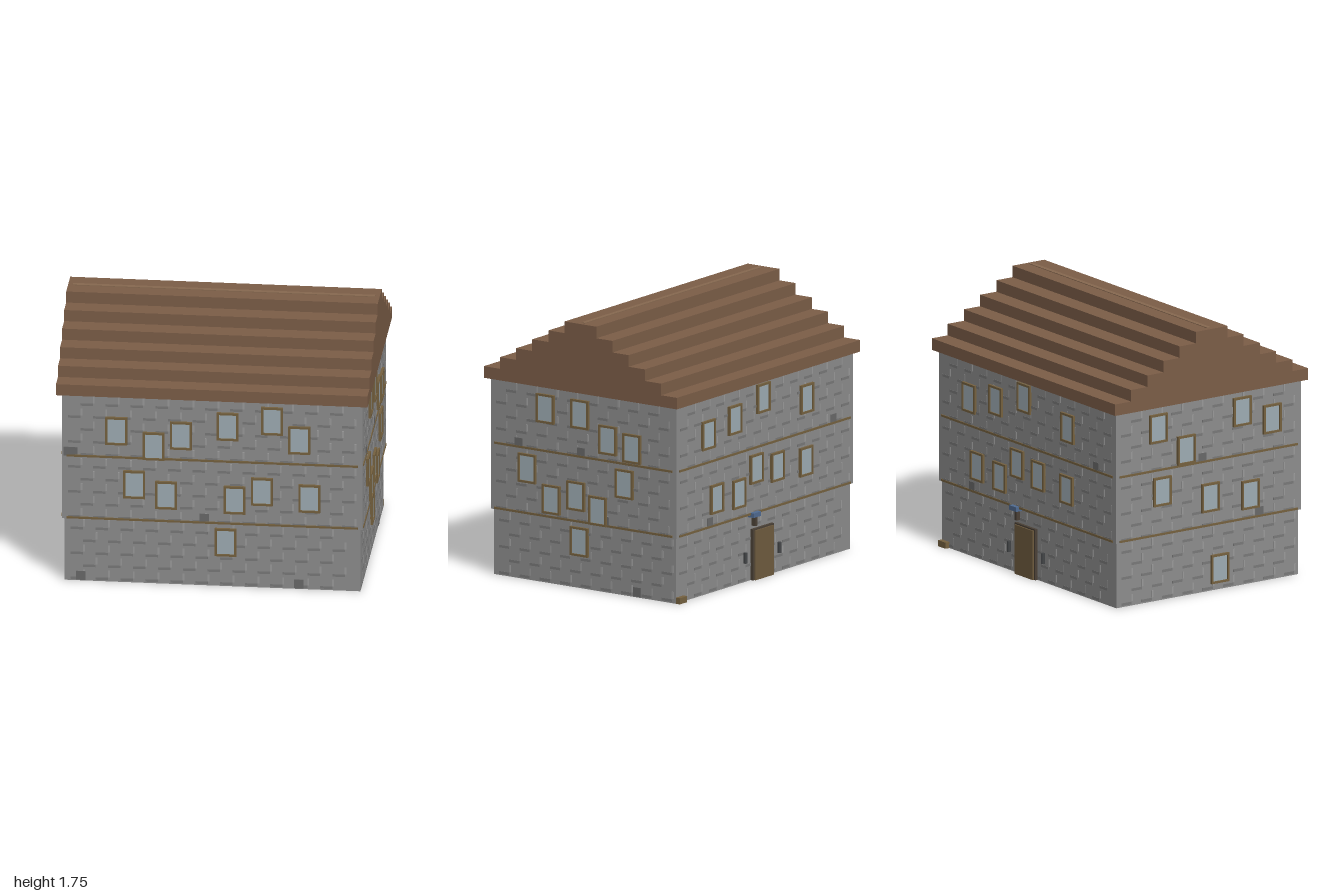
import * as THREE from 'three';
import { mergeGeometries } from 'three/addons/utils/BufferGeometryUtils.js';

const mat = (color) => new THREE.MeshStandardMaterial({ color, flatShading: true });
const M = {
  stone: mat(0x8c8c8c), darkStone: mat(0x787878), paleStone: mat(0x9a9a9a), patch: mat(0x686868),
  roof: mat(0x7b5d47), ridge: mat(0x86684f), timber: mat(0x75613f), glass: mat(0x9dabb2),
  door: mat(0x6e5b3e), dark: mat(0x4a4036), iron: mat(0x444648), blue: mat(0x4f6a90),
};

function box(parent, name, m, w, h, d, x, y, z) {
  const mesh = new THREE.Mesh(new THREE.BoxGeometry(w, h, d), m);
  mesh.position.set(x, y, z);
  mesh.name = name;
  parent.add(mesh);
  return mesh;
}

// wall planes: half sizes of the ground storey and the jettied upper storeys
const GROUND = { x: 0.95, z: 0.715, y0: 0, y1: 0.43 };
const UPPER = { x: 0.965, z: 0.73, y0: 0.43, y1: 1.29 };

// each side: turn about y, windows [u, y] and dark stones [u, y, width]; u runs to the viewer's right
const SIDES = [
  { name: 'front', turn: 0, out: 'z', along: 'x',
    windows: [[-0.615, 1.05], [-0.375, 0.955], [-0.2, 1.035], [0.1, 1.11], [0.385, 1.16], [0.56, 1.035],
      [-0.5, 0.685], [-0.295, 0.62], [0.145, 0.605], [0.32, 0.67], [0.625, 0.635], [0.085, 0.305]],
    stones: [[-0.845, 0.035, 0.06], [0.555, 0.035, 0.06], [-0.05, 0.47, 0.06], [-0.91, 0.895, 0.09]] },
  { name: 'right', turn: Math.PI / 2, out: 'x', along: 'z',
    windows: [[-0.295, 1.145], [-0.025, 1.145], [0.195, 1.005], [0.385, 0.975],
      [-0.44, 0.735], [-0.25, 0.555], [-0.055, 0.605], [0.115, 0.53], [0.325, 0.735], [-0.04, 0.305]],
    stones: [[-0.51, 0.895, 0.06], [-0.02, 0.895, 0.06], [0.41, 0.035, 0.06], [0.17, 0.47, 0.06]] },
  { name: 'back', turn: Math.PI, out: 'z', along: 'x',
    windows: [[-0.625, 1.05], [-0.335, 1.095], [-0.025, 1.18], [0.45, 1.085],
      [-0.535, 0.615], [-0.29, 0.6], [-0.1, 0.73], [0.13, 0.7], [0.44, 0.675]],
    stones: [[0.75, 0.895, 0.06], [-0.6, 0.47, 0.06]] },
  { name: 'left', turn: -Math.PI / 2, out: 'x', along: 'z',
    windows: [[-0.4, 1.145], [-0.18, 0.97], [0.26, 1.155], [0.495, 1.07],
      [-0.37, 0.725], [0.01, 0.625], [0.325, 0.595], [0.095, 0.14]],
    stones: [[-0.05, 0.895, 0.06], [0.4, 0.47, 0.06]] },
];

// framed window standing slightly proud of the wall
function makeWindow(u, y, plane) {
  const g = new THREE.Group();
  g.name = 'window';
  g.position.set(u, y, plane);
  const w = 0.14, h = 0.19, t = 0.014, d = 0.02;
  box(g, 'windowPane', M.glass, w - t, h - t, 0.012, 0, 0, 0.003);
  for (const s of [-1, 1]) {
    box(g, 'windowJamb', M.timber, t, h, d, s * (w - t) / 2, 0, d / 2 - 0.003);
    box(g, 'windowRail', M.timber, w - 2 * t, t, d, 0, s * (h - t) / 2, d / 2 - 0.003);
  }
  return g;
}

// staggered bed joints and pale upright joints of the masonry
function makeMasonry(parent, half, plane, y0, y1) {
  const beds = [], joints = [];
  const rows = Math.round((y1 - y0) / 0.086), step = (y1 - y0) / rows;
  const add = (list, w, h, x, y) =>
    list.push(new THREE.BoxGeometry(w, h, 0.004).translate(x, y, plane));
  for (let r = 0; r < rows; r++) {
    const y = y0 + (r + 0.5) * step;
    for (let x = -half + 0.08 + (r % 2) * 0.08; x < half - 0.06; x += 0.16) {
      add(beds, 0.08, 0.017, x, y - step * 0.3);
      add(joints, 0.012, step * 0.55, x + 0.045, y + step * 0.1);
    }
  }
  for (const [list, m, name] of [[beds, M.darkStone, 'bedJoints'], [joints, M.paleStone, 'uprightJoints']]) {
    const mesh = new THREE.Mesh(mergeGeometries(list), m);
    mesh.name = name;
    parent.add(mesh);
  }
}

function makeSide(side) {
  const g = new THREE.Group();
  g.name = side.name + 'Wall';
  g.rotation.y = side.turn;
  for (const s of [GROUND, UPPER]) makeMasonry(g, s[side.along], s[side.out], s.y0, s.y1);
  const planeAt = (y) => (y < 0.43 ? GROUND : UPPER)[side.out];
  for (const [u, y] of side.windows) g.add(makeWindow(u, y, planeAt(y)));
  for (const [u, y, w] of side.stones) box(g, 'darkStone', M.patch, w, 0.06, 0.008, u, y, planeAt(y));
  // timber string courses
  for (const y of [0.44, 0.867])
    box(g, 'stringCourse', M.timber, 2 * (UPPER[side.along] - 0.03), 0.014, 0.012, 0, y, UPPER[side.out]);
  return g;
}

// stepped gable profile swept along the whole length
function makeRoof() {
  const g = new THREE.Group();
  g.name = 'roof';
  const half = [0.76, 0.635, 0.507, 0.38, 0.252, 0.125];
  const base = 1.29, rise = 0.076;
  const pts = [];
  half.forEach((w, i) => pts.push([w, base + i * rise], [w, base + (i + 1) * rise]));
  const mirror = pts.map(([w, y]) => [-w, y]).reverse();
  const shape = new THREE.Shape([...pts, ...mirror].map(([w, y]) => new THREE.Vector2(w, y)));
  const geo = new THREE.ExtrudeGeometry(shape, { depth: 2, bevelEnabled: false });
  geo.translate(0, 0, -1).rotateY(Math.PI / 2);
  const steps = new THREE.Mesh(geo, M.roof);
  steps.name = 'roofSteps';
  g.add(steps);
  box(g, 'ridge', M.ridge, 1.94, 0.008, 0.03, 0, base + 6 * rise, 0);
  return g;
}

// back entrance with side lamps, hanging light and a small step at the corner
function makeEntrance() {
  const g = new THREE.Group();
  g.name = 'entrance';
  const z = -GROUND.z;
  box(g, 'doorFrame', M.dark, 0.225, 0.335, 0.03, 0.02, 0.1675, z - 0.005);
  box(g, 'door', M.door, 0.2, 0.325, 0.02, 0.02, 0.1625, z - 0.02);
  for (const s of [-1, 1]) {
    const lamp = new THREE.Mesh(new THREE.CylinderGeometry(0.013, 0.013, 0.07, 8), M.iron);
    lamp.name = 'sideLamp';
    lamp.position.set(0.02 + s * 0.185, 0.16, z - 0.012);
    g.add(lamp);
  }
  box(g, 'bracket', M.dark, 0.022, 0.07, 0.03, 0.11, 0.39, z - 0.013);
  box(g, 'awning', M.blue, 0.08, 0.03, 0.045, 0.12, 0.433, z - 0.0225);
  box(g, 'cornerStep', M.timber, 0.08, 0.04, 0.04, 0.91, 0.02, z - 0.012);
  return g;
}

export function createModel() {
  const house = new THREE.Group();
  house.name = 'house';
  for (const [name, s] of [['groundStorey', GROUND], ['upperStoreys', UPPER]])
    box(house, name, M.stone, 2 * s.x, s.y1 - s.y0, 2 * s.z, 0, (s.y0 + s.y1) / 2, 0);
  for (const side of SIDES) house.add(makeSide(side));
  house.add(makeRoof(), makeEntrance());
  return house;
}
